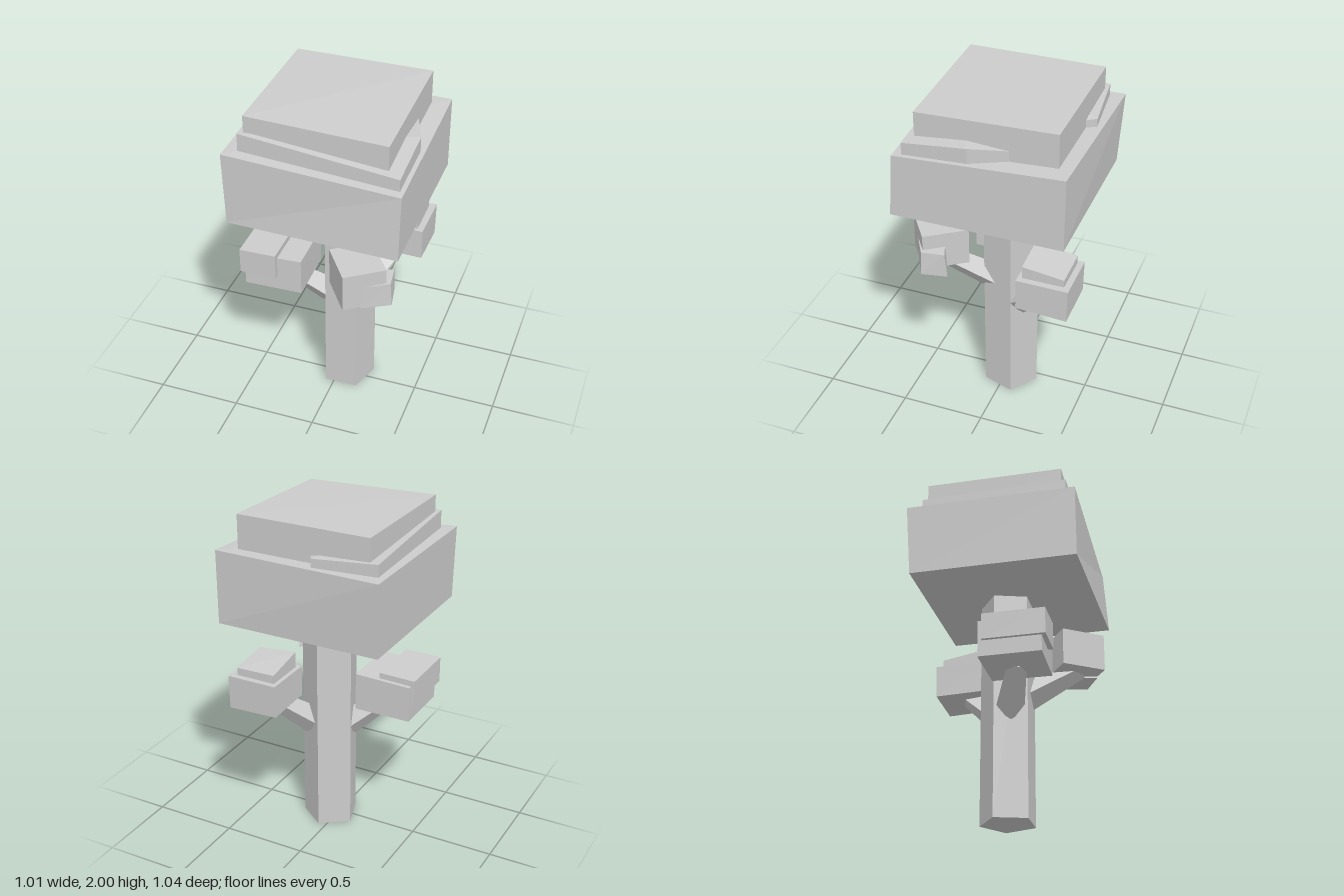
import * as THREE from 'three';

const bark = new THREE.MeshStandardMaterial({ color: 0xcccccc, flatShading: true });
bark.name = 'plain grey';

// Flat-sided solid between two rings of [x, y, z], counter-clockwise seen from above
function loft(name, bottom, top) {
  const n = bottom.length, pos = [];
  const tri = (a, b, c) => pos.push(...a, ...b, ...c);
  for (let i = 0; i < n; i++) {
    const j = (i + 1) % n;
    tri(bottom[i], bottom[j], top[j]);
    tri(bottom[i], top[j], top[i]);
    if (i > 0 && i < n - 1) {
      tri(top[0], top[i], top[i + 1]);
      tri(bottom[0], bottom[i + 1], bottom[i]);
    }
  }
  const geo = new THREE.BufferGeometry();
  geo.setAttribute('position', new THREE.Float32BufferAttribute(pos, 3));
  geo.computeVertexNormals();
  const mesh = new THREE.Mesh(geo, bark);
  mesh.name = name;
  return mesh;
}

// Upright block over a plan of [x, z]; y1 is one height or one per corner
function block(name, plan, y0, y1) {
  return loft(name,
    plan.map(([x, z]) => [x, y0, z]),
    plan.map(([x, z], i) => [x, Array.isArray(y1) ? y1[i] : y1, z]));
}

// Plan corners: front left, front right, back right, back left as seen from the front
const rect = (x0, x1, z0, z1) => [[x0, z1], [x1, z1], [x1, z0], [x0, z0]];

// Tapered four-sided branch
function branch(name, from, to, r0, r1) {
  const a = new THREE.Vector3(...from), b = new THREE.Vector3(...to);
  const dir = b.clone().sub(a);
  const geo = new THREE.CylinderGeometry(r1, r0, dir.length(), 4);
  const mesh = new THREE.Mesh(geo, bark);
  mesh.name = name;
  // Keep one ridge of the branch pointing straight down
  const y = dir.normalize();
  const x = new THREE.Vector3(0, 1, 0).cross(y).normalize();
  const z = x.clone().cross(y);
  mesh.quaternion.setFromRotationMatrix(new THREE.Matrix4().makeBasis(x, y, z));
  mesh.position.copy(a).add(b).multiplyScalar(0.5);
  return mesh;
}

export function createModel() {
  const tree = new THREE.Group();
  tree.name = 'tree';

  // Five-sided trunk with a flat side to the front
  const trunk = new THREE.Mesh(new THREE.CylinderGeometry(0.167, 0.167, 1.4, 5), bark);
  trunk.name = 'trunk';
  trunk.rotation.y = Math.PI;
  trunk.position.set(0.046, 0.7, -0.029);
  tree.add(trunk);

  // Crown of three uneven tiers
  const crown = new THREE.Group();
  crown.name = 'crown';
  crown.add(
    loft('lowerTier',
      [[-0.485, 1.365, 0.485], [0.505, 1.365, 0.512], [0.505, 1.365, -0.49], [-0.485, 1.365, -0.49]],
      [[-0.497, 1.8, 0.485], [0.505, 1.745, 0.485], [0.505, 1.8, -0.493], [-0.497, 1.8, -0.517]]),
    block('middleTier',
      [[-0.425, 0.42], [0.48, 0.435], [0.48, 0.06], [0.39, -0.19], [0, -0.33],
        [-0.05, -0.42], [-0.08, -0.475], [-0.455, -0.435]],
      1.72, [1.905, 1.82, 1.86, 1.845, 1.845, 1.845, 1.85, 1.87]),
    block('upperTier', rect(-0.4, 0.405, -0.42, 0.39), 1.72, [2, 1.975, 2, 2]));
  tree.add(crown);

  // Foliage clump at the front
  const front = new THREE.Group();
  front.name = 'frontClump';
  front.add(
    branch('frontBranch', [0.09, 0.77, 0.06], [0.25, 0.99, 0.36], 0.085, 0.055),
    block('frontFoliage', [[0.045, 0.3], [0.2, 0.52], [0.405, 0.375], [0.25, 0.155]], 0.955, 1.18),
    loft('frontSmallFoliage',
      [[0.285, 0.945, 0.46], [0.44, 0.945, 0.375], [0.41, 0.945, 0.225], [0.25, 0.945, 0.3]],
      [[0.3, 1.09, 0.45], [0.43, 1.09, 0.375], [0.41, 1.09, 0.24], [0.25, 1.09, 0.3]]));
  tree.add(front);

  // Foliage clump at the model's right side
  const side = new THREE.Group();
  side.name = 'sideClump';
  side.add(
    branch('sideBranch', [-0.05, 0.64, 0], [-0.29, 0.83, 0.1], 0.085, 0.055),
    block('sideFoliage', [[-0.485, 0.28], [-0.14, 0.27], [-0.145, -0.08], [-0.485, -0.08]],
      0.795, [1.01, 1.02, 1.02, 1.01]),
    block('sideUpperFoliage', rect(-0.505, -0.285, -0.055, 0.305), 0.89, [1.045, 1.05, 1.05, 1.045]));
  tree.add(side);

  // Foliage clump at the back
  const back = new THREE.Group();
  back.name = 'backClump';
  back.add(
    branch('backBranch', [0.12, 0.66, -0.1], [0.3, 0.89, -0.34], 0.085, 0.05),
    loft('backFoliage',
      [[0.145, 0.87, -0.2], [0.447, 0.865, -0.2], [0.447, 0.85, -0.5], [0.145, 0.86, -0.5]],
      [[0.145, 1.055, -0.2], [0.447, 1.055, -0.2], [0.45, 1.055, -0.505], [0.145, 1.055, -0.505]]),
    block('backUpperFoliage', rect(0.17, 0.41, -0.47, -0.225), 1.04, [1.15, 1.13, 1.1, 1.105]));
  tree.add(back);

  return tree;
}
